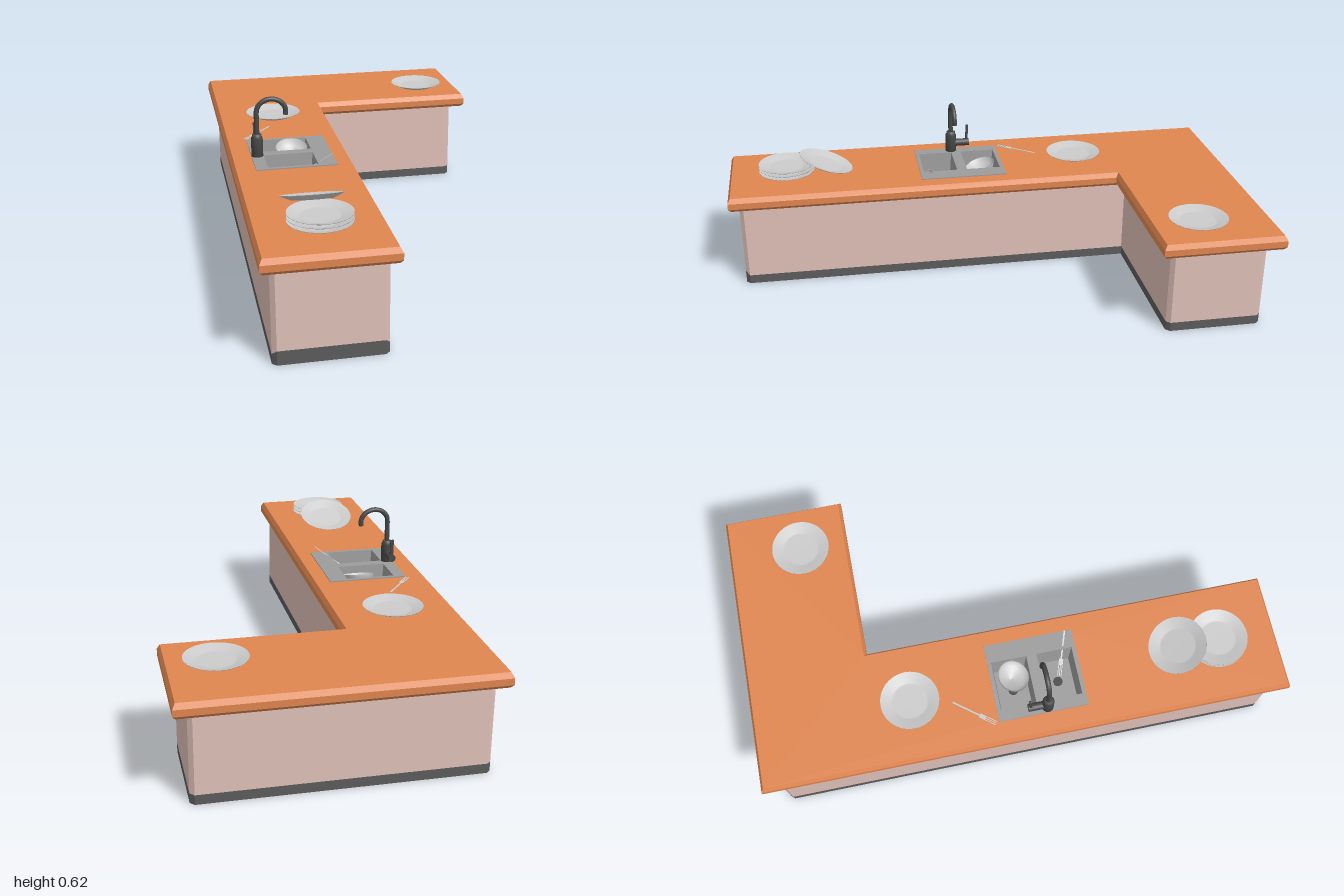
import * as THREE from 'three';
import { mergeGeometries } from 'three/addons/utils/BufferGeometryUtils.js';

const mat = (color) => new THREE.MeshStandardMaterial({ color, side: THREE.DoubleSide });
const wood = mat(0xe08650), panel = mat(0xdfc0b8), dark = mat(0x5c5c5c);
const black = mat(0x484848), steel = mat(0x9c9c9c), china = mat(0xcccccc);
const TOP = 0.385;

function add(parent, name, geometry, material, x = 0, y = 0, z = 0) {
  const m = new THREE.Mesh(geometry, material);
  m.name = name;
  m.position.set(x, y, z);
  parent.add(m);
  return m;
}

// Horizontal face over an outline of [x, z] points, facing up or down
function cap(points, y, up, holes = []) {
  const s = up ? -1 : 1;
  const toV = (list) => list.map(([x, z]) => new THREE.Vector2(x, s * z));
  const shape = new THREE.Shape(toV(points));
  shape.holes = holes.map((h) => new THREE.Path(toV(h)));
  const g = new THREE.ShapeGeometry(shape).rotateX(s * Math.PI / 2).translate(0, y, 0).toNonIndexed();
  return g.deleteAttribute('uv');
}

// Walls through loops of [x, y, z], listed bottom to top
function walls(loops) {
  const pos = [];
  for (let r = 0; r + 1 < loops.length; r++) {
    const lo = loops[r], hi = loops[r + 1], n = lo.length;
    for (let i = 0; i < n; i++) {
      const j = (i + 1) % n;
      pos.push(...lo[i], ...lo[j], ...hi[j], ...lo[i], ...hi[j], ...hi[i]);
    }
  }
  const g = new THREE.BufferGeometry();
  g.setAttribute('position', new THREE.Float32BufferAttribute(pos, 3));
  g.computeVertexNormals();
  return g;
}

const rect = (x0, x1, z0, z1) => [[x0, z1], [x1, z1], [x1, z0], [x0, z0]];

// Shallow plate, standing on its foot
function plateGeometry(r, h) {
  const p = [[0, 0.1], [0.55, 0.1], [0.6, 0], [0.66, 0], [1, 0.92], [1, 1], [0.64, 0.32], [0.58, 0.25], [0, 0.25]];
  return new THREE.LatheGeometry(p.map(([a, b]) => new THREE.Vector2(a * r, b * h)), 40);
}

// Thin fork made from a handle, a neck and tines, lying along +x
function fork(parent, name, length) {
  const g = new THREE.Group();
  g.name = name;
  add(g, 'forkHandle', new THREE.BoxGeometry(length * 0.62, 0.002, 0.006), china, length * 0.31);
  add(g, 'forkHead', new THREE.BoxGeometry(length * 0.14, 0.002, 0.016), china, length * 0.69);
  for (const k of [-1, 0, 1])
    add(g, 'forkTine', new THREE.BoxGeometry(length * 0.24, 0.002, 0.003), china, length * 0.88, 0, k * 0.0065);
  parent.add(g);
  return g;
}

export function createModel() {
  const root = new THREE.Group();
  root.name = 'kitchenCounter';

  // L-shaped worktop with a bevelled edge; each corner carries its inward direction
  const corners = [[-0.545, 1, 1, -1], [-0.1, 1, -1, -1], [-0.1, -0.54, -1, -1],
    [0.545, -0.54, -1, -1], [0.545, -1, -1, 1], [-0.545, -1, 1, 1]];
  const inset = (d) => corners.map(([x, z, sx, sz]) => [x + sx * d, z + sz * d]);
  const rows = [[0.01, 0.33], [0, 0.342], [0, 0.366], [0.01, TOP]];
  const cutout = rect(-0.455, -0.175, -0.09, 0.23);
  add(root, 'worktop', mergeGeometries([
    walls(rows.map(([d, y]) => inset(d).map(([x, z]) => [x, y, z]))),
    cap(inset(0.01), TOP, true, [cutout]),
    cap(inset(0.01), 0.33, false, [cutout]),
  ]), wood);

  // Cabinet with chamfered outer corners over a dark plinth
  const c = 0.015;
  const base = [[-0.51, 0.96 - c], [-0.51 + c, 0.96], [-0.13 - c, 0.96], [-0.13, 0.96 - c],
    [-0.13, -0.585], [0.495 - c, -0.585], [0.495, -0.585 - c], [0.495, -0.95 + c],
    [0.495 - c, -0.95], [-0.51 + c, -0.95], [-0.51, -0.95 + c]];
  const level = (y) => base.map(([x, z]) => [x, y, z]);
  const plinthTop = base.map(([x, z]) => [x, z > 0.95 ? 0.05 : 0.035, z]);
  add(root, 'cabinetPanels', walls([plinthTop, level(0.332)]), panel);
  add(root, 'plinth', mergeGeometries([walls([level(0), plinthTop]), cap(base, 0, false)]), dark);

  // Double sink let into the worktop
  const sink = new THREE.Group();
  sink.name = 'sink';
  root.add(sink);
  const bowls = [[-0.42, -0.235, -0.085, 0.05], [-0.42, -0.235, 0.09, 0.225]];
  const rim = rect(-0.465, -0.165, -0.1, 0.24);
  add(sink, 'sinkRim', mergeGeometries([
    walls([TOP, TOP + 0.004].map((y) => rim.map(([x, z]) => [x, y, z]))),
    cap(rim, TOP + 0.004, true, bowls.map((b) => rect(...b))),
  ]), steel);
  for (const [x0, x1, z0, z1] of bowls) {
    const d = 0.008, floor = rect(x0 + d, x1 - d, z0 + d, z1 - d);
    const wall = walls([rect(x0, x1, z0, z1).map(([x, z]) => [x, TOP + 0.004, z]), floor.map(([x, z]) => [x, 0.28, z])]);
    add(sink, 'sinkBasin', mergeGeometries([wall, cap(floor, 0.28, true)]), steel);
    add(sink, 'drain', new THREE.CylinderGeometry(0.018, 0.018, 0.004, 20), black, (x0 + x1) / 2, 0.282, (z0 + z1) / 2);
  }

  // Gooseneck tap with a side lever
  const tap = new THREE.Group();
  tap.name = 'tap';
  tap.position.set(-0.443, TOP, 0.088);
  root.add(tap);
  const body = [[0, 0], [0.022, 0], [0.022, 0.075], [0.018, 0.08], [0.018, 0.088], [0.01, 0.09], [0, 0.09]];
  add(tap, 'tapBody', new THREE.LatheGeometry(body.map(([a, b]) => new THREE.Vector2(a, b)), 24), black);
  const path = [new THREE.Vector3(0, 0.08, 0), new THREE.Vector3(0.001, 0.125, 0)];
  for (let i = 0; i <= 12; i++) {
    const a = Math.PI * (1 - i / 12 * 1.08);
    path.push(new THREE.Vector3(0.056 + 0.055 * Math.cos(a), 0.171 + 0.05 * Math.sin(a), -0.003 * i / 12));
  }
  add(tap, 'tapSpout', new THREE.TubeGeometry(new THREE.CatmullRomCurve3(path), 48, 0.0095, 12), black);
  add(tap, 'leverHub', new THREE.CylinderGeometry(0.015, 0.015, 0.075, 20).rotateX(Math.PI / 2), black, 0, 0.038, -0.038);
  const lever = add(tap, 'lever', new THREE.BoxGeometry(0.012, 0.085, 0.009), black, 0, 0.07, -0.067);
  lever.rotation.x = -0.06;

  // Plates on the worktop: two singles, a stack and one leaning on it
  const plate = plateGeometry(0.11, 0.018);
  add(root, 'plate', plate, china, 0.37, TOP, -0.72);
  add(root, 'plate', plate, china, -0.32, TOP, -0.41);
  for (let i = 0; i < 3; i++) add(root, 'stackedPlate', plate, china, -0.32, TOP + i * 0.014, 0.77);
  const leaning = add(root, 'leaningPlate', plate, china, -0.32, 0.413, 0.617);
  leaning.rotation.x = -0.34;

  // Bowl left in the rear basin
  const bowlPts = [[0, 0], [0.025, 0], [0.05, 0.018], [0.062, 0.045], [0.059, 0.045], [0.047, 0.021], [0, 0.004]];
  const bowl = add(root, 'bowl', new THREE.LatheGeometry(bowlPts.map(([a, b]) => new THREE.Vector2(a, b)), 32), china, -0.3, 0.335, -0.025);
  bowl.rotation.x = 0.3;

  // Forks: one on the worktop, one resting in the front basin
  const loose = fork(root, 'worktopFork', 0.18);
  loose.position.set(-0.357, TOP + 0.003, -0.255);
  loose.rotation.y = -2.23;
  const resting = fork(root, 'sinkFork', 0.18);
  resting.position.set(-0.176, 0.423, 0.21);
  resting.rotation.set(0, Math.PI - 0.32, -0.6, 'YXZ');

  return root;
}
